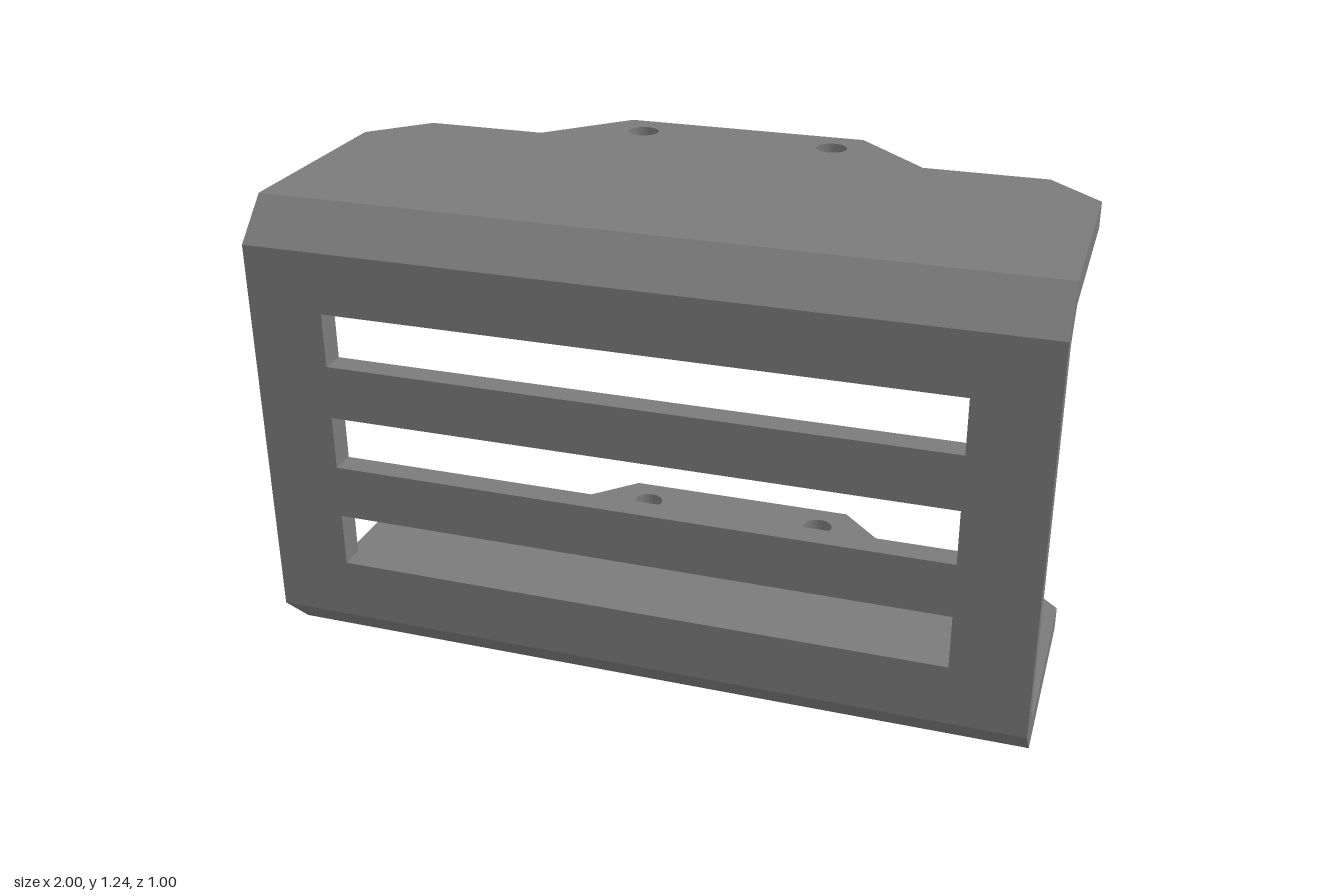
import * as THREE from 'three';
import { toCreasedNormals } from 'three/addons/utils/BufferGeometryUtils.js';

const HEIGHT = 1.235, SHEET = 0.067, FRONT = 0.5;
const PANEL = 0.064; // thickness of the front sheet
const BEND_Z = 0.368, BEND_Y = 0.135; // where the bends meet the flat sheets

const shapeOf = (points) => new THREE.Shape(points.map(([x, y]) => new THREE.Vector2(x, y)));

function extrude(shape, depth) {
  const geometry = new THREE.ExtrudeGeometry(shape, { depth, bevelEnabled: false, curveSegments: 24 });
  return toCreasedNormals(geometry, 0.6);
}

// Upright front sheet with three long slots
function frontPanelGeometry() {
  const top = HEIGHT - BEND_Y;
  const shape = shapeOf([[-1, BEND_Y], [1, BEND_Y], [1, top], [-1, top]]);
  for (let i = 0; i < 3; i++) {
    const y0 = 0.263 + i * 0.284, y1 = y0 + 0.142;
    shape.holes.push(shapeOf([[-0.8, y0], [-0.8, y1], [0.8, y1], [0.8, y0]]));
  }
  return extrude(shape, PANEL).translate(0, 0, FRONT - PANEL);
}

// Horizontal sheet with clipped corners, a rear tab and two round holes
function flangeGeometry() {
  const half = [[1, -BEND_Z], [1, 0.16], [0.86, 0.3], [0.533, 0.3], [0.333, 0.5]];
  const mirrored = half.map(([x, y]) => [-x, y]).reverse();
  const shape = shapeOf([...half, ...mirrored]);
  for (const side of [-1, 1]) {
    const hole = new THREE.Path();
    hole.absarc(side * 0.267, 0.4, 0.042, 0, Math.PI * 2, true);
    shape.holes.push(hole);
  }
  return extrude(shape, SHEET).rotateX(-Math.PI / 2);
}

// Chamfered fold running the full width; the top one is flipped in y
function bendGeometry(isTop) {
  const profile = [
    [BEND_Z, 0], [0.4, 0], [FRONT, 0.102], [FRONT, BEND_Y],
    [FRONT - PANEL, BEND_Y], [BEND_Z, SHEET],
  ].map(([z, y]) => [z, isTop ? HEIGHT - y : y]);
  return extrude(shapeOf(profile), 2).rotateY(-Math.PI / 2).translate(1, 0, 0);
}

export function createModel() {
  const model = new THREE.Group();
  model.name = 'slottedBracket';
  const material = new THREE.MeshStandardMaterial({ color: 0x7b7b7b });

  const add = (name, geometry, y = 0) => {
    const mesh = new THREE.Mesh(geometry, material);
    mesh.name = name;
    mesh.position.y = y;
    model.add(mesh);
  };

  add('frontPanel', frontPanelGeometry());
  add('bottomFlange', flangeGeometry());
  add('topFlange', flangeGeometry(), HEIGHT - SHEET);
  add('bottomBend', bendGeometry(false));
  add('topBend', bendGeometry(true));
  return model;
}
